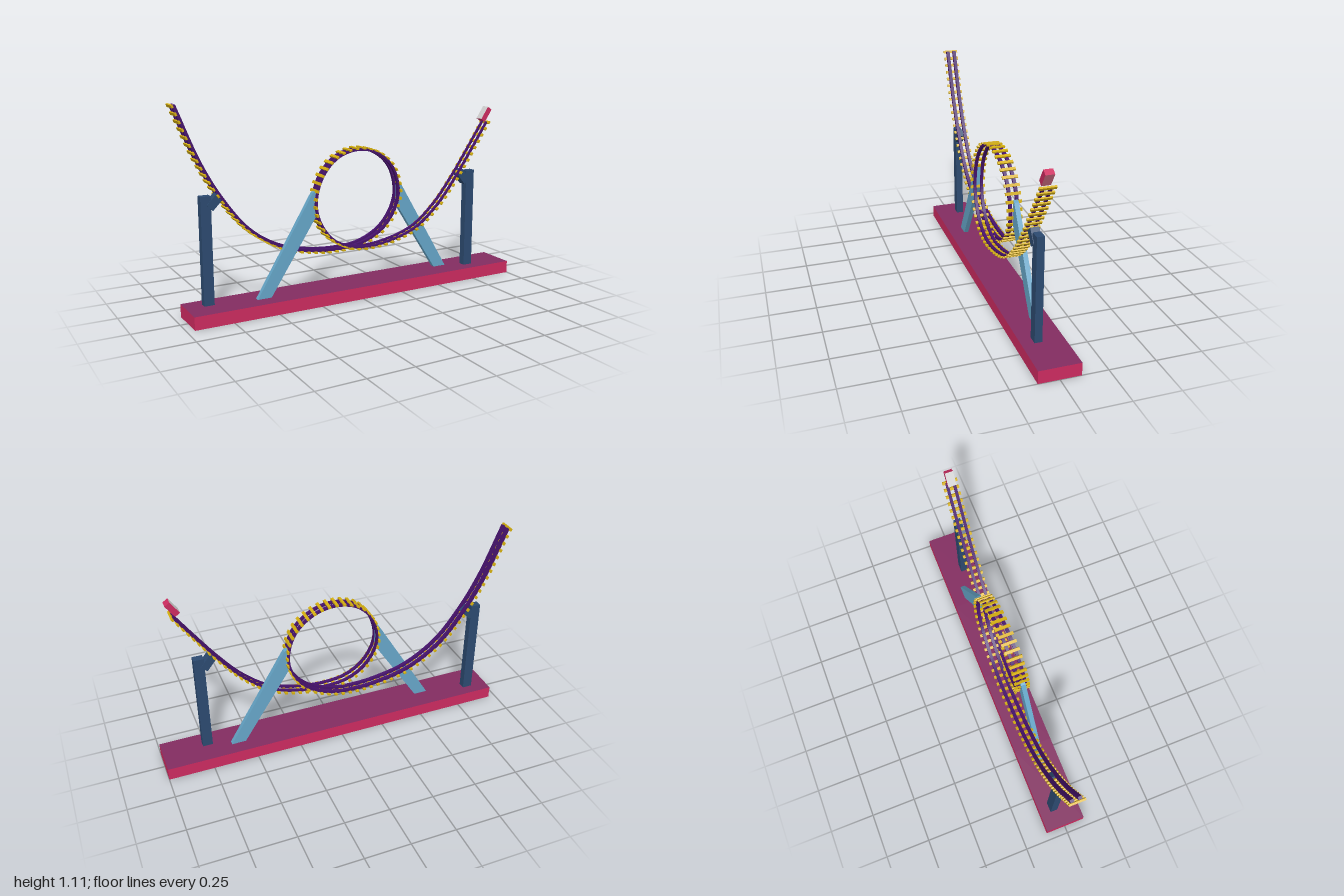
import * as THREE from 'three';

const mat = (name, color, side = THREE.FrontSide) => {
  const m = new THREE.MeshStandardMaterial({ color, side });
  m.name = name;
  return m;
};

// Centre line of the track: run-in, one loop, run-out
const PATH = [
  [-0.98, 1.1], [-0.86, 0.81], [-0.75, 0.618], [-0.61, 0.445], [-0.43, 0.328], [-0.26, 0.282], [-0.09, 0.268],
  [0.06, 0.286], [0.19, 0.355], [0.265, 0.46], [0.284, 0.56], [0.243, 0.695], [0.145, 0.783], [0.02, 0.814],
  [-0.11, 0.781], [-0.205, 0.685], [-0.246, 0.555], [-0.23, 0.455], [-0.17, 0.36], [-0.075, 0.298], [0.045, 0.277],
  [0.2, 0.291], [0.375, 0.348], [0.515, 0.458], [0.635, 0.6], [0.755, 0.77], [0.855, 0.918],
];

// Sideways drift that lets the loop pass beside itself
function drift(i) {
  const s = THREE.MathUtils.clamp((i - 6) / 14, 0, 1);
  return THREE.MathUtils.lerp(-0.037, 0.031, s);
}

export function createModel() {
  const crimson = mat('crimson', 0xcc2b60);
  const plum = mat('plum', 0x822c60);
  const lightGrey = mat('lightGrey', 0xd4d4d4);
  const gold = mat('gold', 0xd6b010);
  const orange = mat('orange', 0xd67838);
  const red = mat('red', 0xc83028);
  const navy = mat('navy', 0x2c4a70);
  const sky = mat('skyBlue', 0x66a6c8);
  const indigo = mat('indigo', 0x46126c);
  const pink = mat('dustyPink', 0xd87088);

  const model = new THREE.Group();
  model.name = 'loopTrack';
  const add = (name, geometry, material, parent = model) => {
    const mesh = new THREE.Mesh(geometry, material);
    mesh.name = name;
    parent.add(mesh);
    return mesh;
  };

  // Base in four lengths, each with its own underside colour
  [red, orange, gold, lightGrey].forEach((under, i) => {
    const part = add('base', new THREE.BoxGeometry(0.49, 0.07, 0.222),
      [crimson, crimson, plum, under, crimson, crimson]);
    part.position.set(-0.96 + 0.49 * (i + 0.5), 0.035, 0);
  });

  // Posts with short tilted arms under the track
  for (const [x, z, armX, tilt] of [[-0.838, -0.032, -0.79, 0.79], [0.752, 0.025, 0.704, -0.9]]) {
    const post = add('post', new THREE.BoxGeometry(0.055, 0.575, 0.04), navy);
    post.position.set(x, 0.3525, z);
    const arm = add('postArm', new THREE.BoxGeometry(0.08, 0.045, 0.046), navy);
    arm.position.set(armX, 0.607, z);
    arm.rotation.z = tilt;
  }

  // Slanted struts cut upright where they meet the loop
  const strut = (points, z) => {
    const shape = new THREE.Shape(points.map(([x, y]) => new THREE.Vector2(x, y)));
    const g = new THREE.ExtrudeGeometry(shape, { depth: 0.026, bevelEnabled: false });
    add('strut', g.translate(0, 0, z), sky);
  };
  strut([[-0.588, 0.07], [-0.51, 0.07], [-0.245, 0.475], [-0.245, 0.612], [-0.262, 0.607]], 0);
  strut([[0.548, 0.07], [0.627, 0.07], [0.305, 0.605], [0.286, 0.614], [0.286, 0.475]], -0.038);

  // Track frames: position, tangent, normal towards the riding side
  const curve = new THREE.CatmullRomCurve3(
    PATH.map(([x, y], i) => new THREE.Vector3(x, y, drift(i))), false, 'centripetal');
  curve.arcLengthDivisions = 800;
  const frame = (u) => {
    const p = curve.getPointAt(u);
    const t = curve.getTangentAt(u).setZ(0).normalize();
    return { p, t, n: new THREE.Vector3(-t.y, t.x, 0) };
  };

  // Rail: a rectangle swept along the path, thinner towards the far end
  const rail = (offset) => {
    const steps = 220, pos = [], idx = [];
    for (let i = 0; i <= steps; i++) {
      const { p, n } = frame(i / steps);
      const h = THREE.MathUtils.lerp(0.009, 0.004, i / steps);
      const w = THREE.MathUtils.lerp(0.0095, 0.008, i / steps);
      for (const [a, b] of [[-h, -w], [h, -w], [h, w], [-h, w]]) {
        pos.push(p.x + n.x * a, p.y + n.y * a, p.z + offset + b);
      }
    }
    for (let i = 0; i < steps; i++) {
      for (let k = 0; k < 4; k++) {
        const a = i * 4 + k, b = i * 4 + (k + 1) % 4;
        idx.push(a, b, b + 4, a, b + 4, a + 4);
      }
    }
    const e = steps * 4;
    idx.push(0, 3, 2, 0, 2, 1, e, e + 1, e + 2, e, e + 2, e + 3);
    let g = new THREE.BufferGeometry();
    g.setAttribute('position', new THREE.Float32BufferAttribute(pos, 3));
    g.setIndex(idx);
    g = g.toNonIndexed();
    g.computeVertexNormals();
    add('rail', g, indigo);
  };
  rail(-0.0195);
  rail(0.0195);

  // Ties across the outer side of the rails
  const ties = new THREE.Group();
  ties.name = 'ties';
  model.add(ties);
  const tieGeometry = new THREE.BoxGeometry(0.016, 0.01, 0.085);
  const count = Math.round(curve.getLength() / 0.042);
  for (let i = 0; i <= count; i++) {
    const { p, t, n } = frame(i / count);
    const tie = add('tie', tieGeometry, gold, ties);
    tie.position.copy(p).addScaledVector(n, THREE.MathUtils.lerp(-0.011, -0.006, i / count));
    tie.rotation.z = Math.atan2(t.y, t.x);
  }

  // Car resting at the upper end of the run-out
  const car = add('car', new THREE.BoxGeometry(0.082, 0.032, 0.046),
    [crimson, crimson, lightGrey, pink, crimson, crimson]);
  car.position.set(0.851, 0.962, 0.032);
  car.rotation.z = 0.98;

  return model;
}
